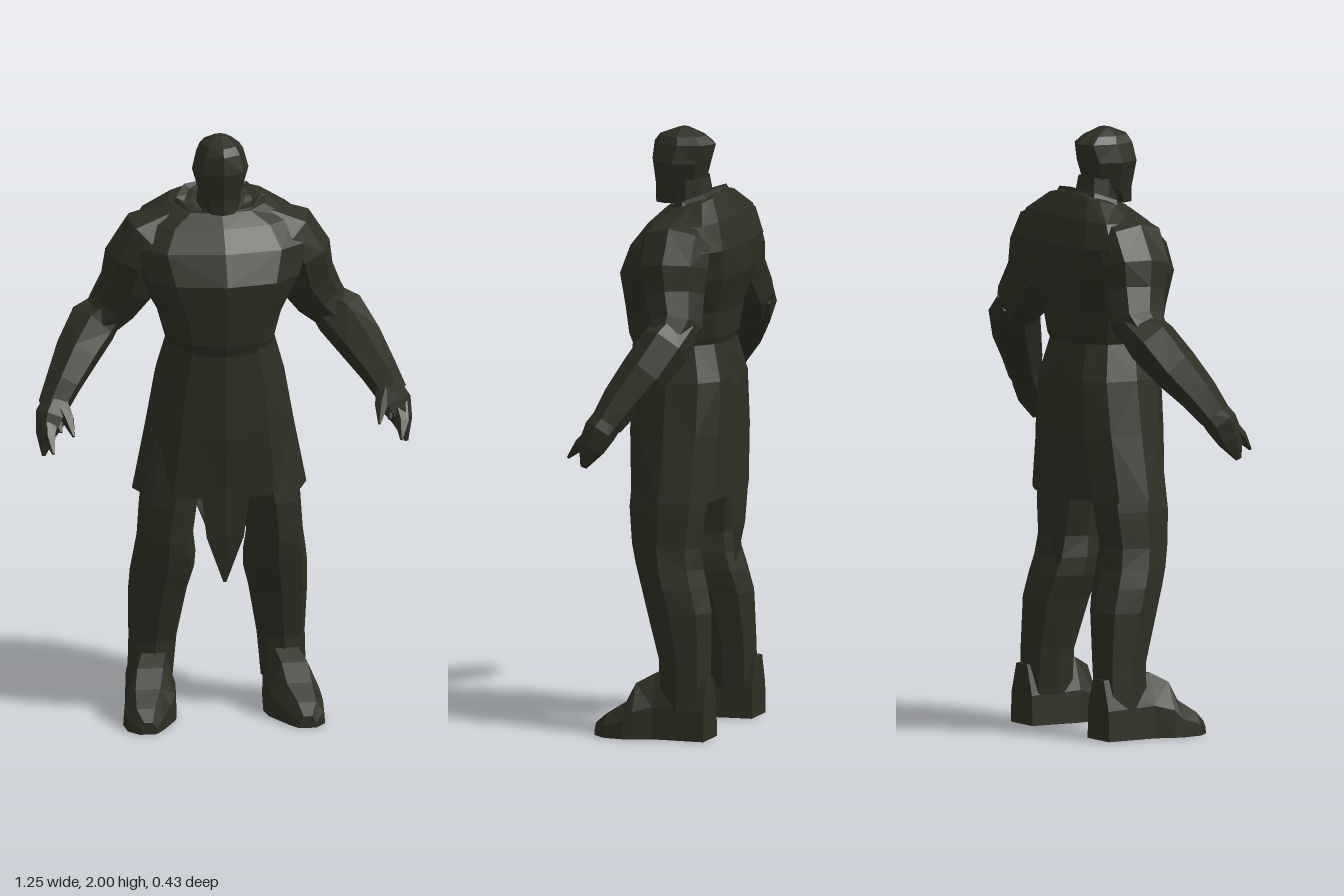
import * as THREE from 'three';

const darkHide = new THREE.MeshStandardMaterial({ color: 0x2f2e23, flatShading: true, side: THREE.DoubleSide });
darkHide.name = 'dark hide';

// Squared-off sine or cosine
const sq = (v, p) => Math.sign(v) * Math.abs(v) ** p;

// Horizontal ring: [y, centre x, half width, front z, back z, tilt, sweep of the sides]
function ring([y, cx, hw, zf, zb, tilt = 0, sweep = 0], n, p = 0.85) {
  return Array.from({ length: n }, (_, i) => {
    const a = (i / n) * Math.PI * 2, s = Math.sin(a), c = Math.cos(a);
    return new THREE.Vector3(cx + hw * sq(s, p), y + tilt * c,
      (zf + zb) / 2 + ((zf - zb) / 2) * sq(c, c > 0 ? 1 : p) - sweep * s * s);
  });
}

// Rings square to a path of [x, y, z, half width, half depth]
function limbRings(path, n) {
  const pts = path.map(([x, y, z]) => new THREE.Vector3(x, y, z));
  return path.map(([, , , a, b], i) => {
    const t = pts[Math.min(i + 1, pts.length - 1)].clone().sub(pts[Math.max(i - 1, 0)]).normalize();
    const u = new THREE.Vector3().crossVectors(t, new THREE.Vector3(0, 0, 1)).normalize();
    const v = new THREE.Vector3().crossVectors(u, t);
    return Array.from({ length: n }, (_, k) => {
      const w = (k / n) * Math.PI * 2;
      return pts[i].clone().addScaledVector(u, a * Math.cos(w)).addScaledVector(v, b * Math.sin(w));
    });
  });
}

// Skin over a stack of rings, turned outward
function loft(rings, caps = true) {
  const n = rings[0].length, tris = [];
  for (let i = 0; i < rings.length - 1; i++) {
    for (let j = 0; j < n; j++) {
      const k = (j + 1) % n, [a, b] = [rings[i], rings[i + 1]];
      if ((i + j) % 2) tris.push([a[j], a[k], b[k]], [a[j], b[k], b[j]]);
      else tris.push([a[j], a[k], b[j]], [a[k], b[k], b[j]]);
    }
  }
  if (caps) {
    [rings[0], rings[rings.length - 1]].forEach((r, end) => {
      const mid = r.reduce((s, q) => s.add(q), new THREE.Vector3()).divideScalar(n);
      r.forEach((q, j) => tris.push(end ? [q, r[(j + 1) % n], mid] : [r[(j + 1) % n], q, mid]));
    });
  }
  const origin = rings[0][0];
  const volume = tris.reduce((s, [a, b, c]) =>
    s + a.clone().sub(origin).dot(b.clone().sub(origin).cross(c.clone().sub(origin))), 0);
  return surface(volume < 0 ? tris.map(([a, b, c]) => [a, c, b]) : tris);
}

function surface(tris) {
  const g = new THREE.BufferGeometry().setFromPoints(tris.flat());
  g.computeVertexNormals();
  return g;
}

// Hanging cloth with a centre fold: rows of [y, half width, z, fold depth]
function cloth(rows, facing) {
  const pts = rows.map(([y, hw, z, fold]) =>
    [-hw, 0, hw].map((x, i) => new THREE.Vector3(x, y, z + (i === 1 ? fold : 0))));
  const tris = [];
  for (let i = 0; i < pts.length - 1; i++) {
    for (let j = 0; j < 2; j++) {
      const [a, b] = [pts[i], pts[i + 1]];
      tris.push([a[j], b[j], b[j + 1]], [a[j], b[j + 1], a[j + 1]]);
    }
  }
  return surface(facing > 0 ? tris : tris.map(([a, b, c]) => [a, c, b]));
}

export function createModel() {
  const model = new THREE.Group();
  const add = (name, geometry) => {
    const mesh = new THREE.Mesh(geometry, darkHide);
    mesh.name = name;
    model.add(mesh);
  };
  const body = (name, rows, n, p, caps) => add(name, loft(rows.map(r => ring(r, n, p)), caps));

  body('head', [
    [1.75, 0, 0.05, 0.105, 0], [1.80, 0, 0.068, 0.105, -0.065], [1.89, 0, 0.094, 0.118, -0.088],
    [1.95, 0, 0.078, 0.11, -0.105], [1.975, 0, 0.062, 0.09, -0.07], [2.0, 0, 0.022, 0.025, -0.01],
  ], 8, 0.95);
  body('neck', [[1.68, 0, 0.085, 0.04, -0.11], [1.84, 0, 0.065, 0.04, -0.08]], 8, 0.85, false);
  body('torso', [
    [1.27, 0, 0.165, 0.165, -0.145], [1.32, 0, 0.185, 0.182, -0.165], [1.41, 0, 0.21, 0.19, -0.175],
    [1.53, 0, 0.28, 0.2, -0.21, 0, 0.01], [1.63, 0, 0.32, 0.155, -0.213, 0, 0.025],
    [1.71, 0, 0.265, 0.1, -0.18, -0.01, 0.03], [1.765, 0, 0.165, 0.055, -0.135, -0.025, 0.02],
    [1.77, 0, 0.09, 0.03, -0.11, -0.035],
  ], 12, 0.75);
  body('collar', [
    [1.7, 0, 0.18, 0.085, -0.16, -0.02, 0.02], [1.775, 0, 0.14, 0.05, -0.125, -0.035], [1.75, 0, 0.09, 0.03, -0.09, -0.035],
  ], 8, 0.85, false);

  // Robe
  body('skirt', [
    [0.785, 0, 0.29, 0.15, -0.172], [1.0, 0, 0.248, 0.165, -0.187], [1.18, 0, 0.216, 0.168, -0.187], [1.3, 0, 0.182, 0.168, -0.155],
  ], 12, 0.75, false);
  add('frontCloth', cloth([
    [1.27, 0.06, 0.16, 0.012], [1.0, 0.075, 0.158, 0.015], [0.8, 0.08, 0.146, 0.012],
    [0.65, 0.062, 0.14, 0.01], [0.49, 0.005, 0.13, 0],
  ], 1));
  add('backCloth', cloth([
    [1.26, 0.05, -0.168, -0.005], [1.15, 0.06, -0.186, -0.01], [0.8, 0.085, -0.186, -0.014],
    [0.68, 0.06, -0.185, -0.015], [0.56, 0.012, -0.175, 0],
  ], -1));

  for (const [side, s] of [['left', 1], ['right', -1]]) {
    const limb = (name, path, n) =>
      add(side + name, loft(limbRings(path.map(([x, ...rest]) => [s * x, ...rest]), n)));

    // Shoulder, arm and hand
    limb('UpperArm', [
      [0.15, 1.7, -0.055, 0.055, 0.09], [0.235, 1.65, -0.052, 0.092, 0.122], [0.272, 1.57, -0.055, 0.106, 0.122],
      [0.292, 1.48, -0.068, 0.1, 0.105], [0.345, 1.395, -0.09, 0.085, 0.093], [0.4, 1.335, -0.08, 0.065, 0.07],
    ], 8);
    limb('Forearm', [
      [0.345, 1.395, -0.1, 0.06, 0.08], [0.41, 1.338, -0.078, 0.088, 0.085], [0.47, 1.255, -0.028, 0.078, 0.082],
      [0.525, 1.17, 0.03, 0.062, 0.068], [0.565, 1.1, 0.068, 0.052, 0.055],
    ], 6);
    limb('Hand', [
      [0.545, 1.13, 0.055, 0.045, 0.052], [0.572, 1.075, 0.088, 0.055, 0.055], [0.592, 1.02, 0.112, 0.034, 0.048],
      [0.603, 0.955, 0.135, 0.006, 0.012],
    ], 6);
    limb('Thumb', [[0.54, 1.12, 0.08, 0.03, 0.03], [0.52, 1.075, 0.125, 0.022, 0.022], [0.508, 1.03, 0.175, 0.005, 0.005]], 5);
    limb('InnerFinger', [[0.56, 1.085, 0.1, 0.03, 0.025], [0.545, 1.035, 0.14, 0.006, 0.006]], 5);
    limb('OuterFinger', [[0.582, 1.07, 0.105, 0.035, 0.03], [0.587, 1.025, 0.155, 0.024, 0.022], [0.578, 0.98, 0.198, 0.005, 0.005]], 5);

    // Leg with its knee bulge, and boot
    body(side + 'Leg', [
      [0.1, 0.222, 0.075, 0.015, -0.168], [0.25, 0.213, 0.08, 0.015, -0.168], [0.42, 0.2, 0.098, 0.065, -0.165],
      [0.5, 0.188, 0.107, 0.09, -0.145], [0.56, 0.183, 0.104, 0.108, -0.128], [0.63, 0.182, 0.094, 0.122, -0.12],
      [0.75, 0.17, 0.098, 0.135, -0.135], [0.95, 0.13, 0.11, 0.13, -0.14],
    ].map(([y, x, ...r]) => [y, s * x, ...r]), 8);
    const boot = [
      [-0.17, 0.228, 0.064, 0.2], [0.01, 0.222, 0.078, 0.215], [0.07, 0.24, 0.086, 0.182],
      [0.1, 0.252, 0.082, 0.12], [0.17, 0.268, 0.06, 0.075], [0.212, 0.265, 0.028, 0.04],
    ].map(([z, x, w, h]) =>
      [[-1, 0], [1, 0], [0.95, 0.5], [0.5, 1], [-0.5, 1], [-0.95, 0.5]]
        .map(([u, v]) => new THREE.Vector3(s * (x + u * w), v * h, z)));
    add(side + 'Boot', loft(boot));
  }
  return model;
}
